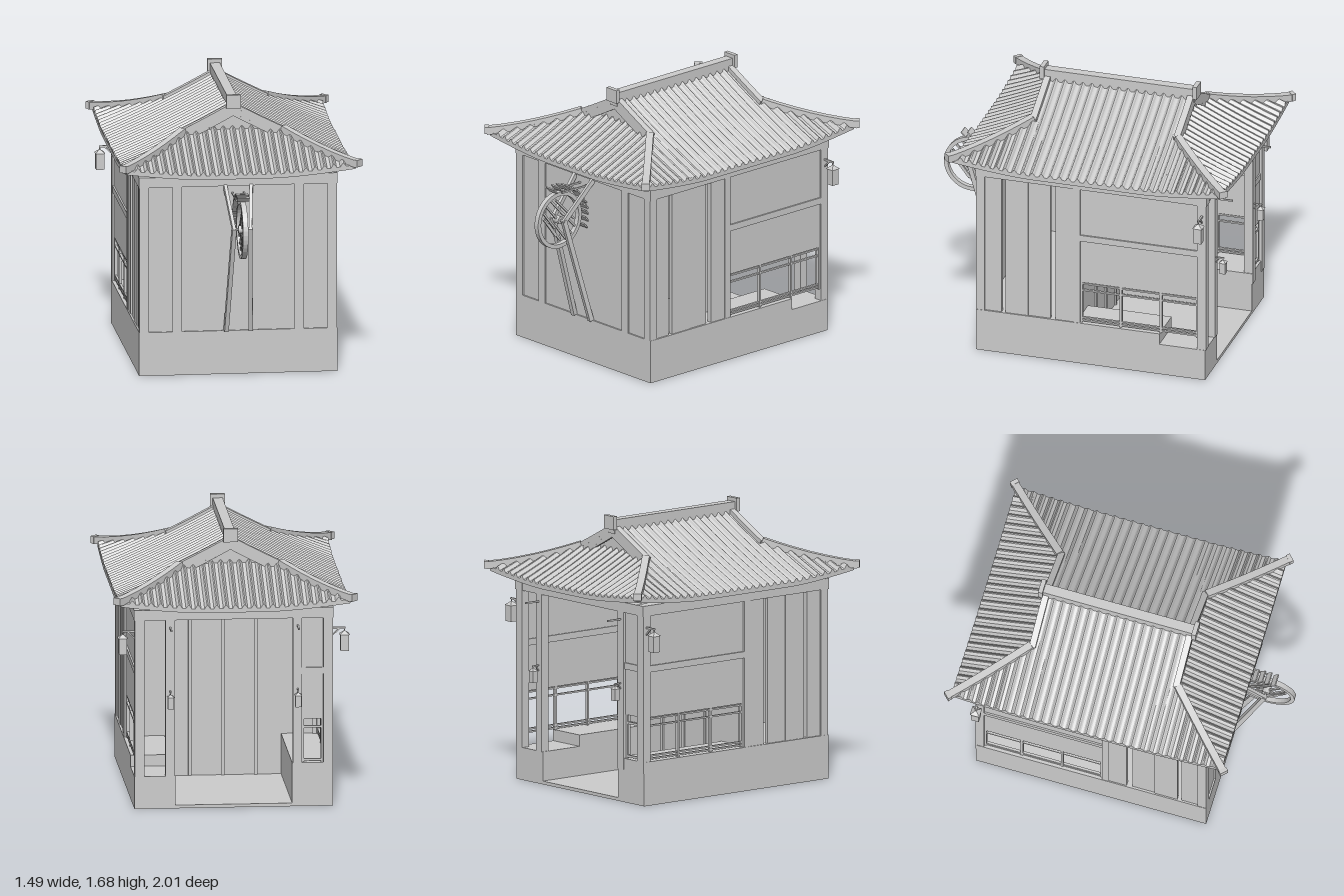
import * as THREE from 'three';

const grey = new THREE.MeshStandardMaterial({ color: 0xcccccc, flatShading: true });
const greyBoth = new THREE.MeshStandardMaterial({ color: 0xcccccc, flatShading: true, side: THREE.DoubleSide });

// Roof plan: centre, half sizes and the inset at which the gable stands
const ZC = -0.115, HX = 0.7, HZ = 0.855, GABLE = 0.385, RIB = 0.057;

// Roof height for inset u from the eave and distance w from the corner
function roofY(u, w) {
  const lift = 0.045 * Math.pow(Math.max(0, 1 - w / 0.5), 1.5) * Math.max(0, 1 - u / 0.45);
  return 1.265 + 0.41 * u + 0.098 * u * u + lift;
}

export function createModel() {
  const root = new THREE.Group();
  const group = (name, parent = root) => {
    const g = new THREE.Group();
    g.name = name;
    parent.add(g);
    return g;
  };
  const add = (parent, name, geo, mat = grey) => {
    const m = new THREE.Mesh(geo, mat);
    m.name = name;
    parent.add(m);
    return m;
  };
  // Box from its minimum and maximum on each axis
  const box = (p, name, x0, x1, y0, y1, z0, z1) => {
    const m = add(p, name, new THREE.BoxGeometry(x1 - x0, y1 - y0, z1 - z0));
    m.position.set((x0 + x1) / 2, (y0 + y1) / 2, (z0 + z1) / 2);
    return m;
  };
  // The same box on both sides of x = 0
  const pair = (p, name, x0, x1, ...r) => {
    box(p, name, x0, x1, ...r);
    box(p, name, -x1, -x0, ...r);
  };
  // Square bar between two points
  const strut = (p, name, a, b, w, h = w) => {
    const A = new THREE.Vector3(...a), B = new THREE.Vector3(...b);
    const m = add(p, name, new THREE.BoxGeometry(w, h, A.distanceTo(B)));
    m.position.copy(A).lerp(B, 0.5);
    m.lookAt(B);
    return m;
  };
  const chain = (p, name, pts, w, h) => {
    for (let i = 1; i < pts.length; i++) strut(p, name, pts[i - 1], pts[i], w, h);
  };

  // Plinth: closed front room, sunken passage at the back between two counters
  const base = group('base');
  box(base, 'frontPlinth', -0.605, 0.605, 0, 0.27, 0, 0.615);
  box(base, 'passageFloor', -0.355, 0.355, 0, 0.02, -0.84, 0);
  box(base, 'counterRight', -0.605, -0.355, 0, 0.27, -0.84, 0);
  box(base, 'counterLeft', 0.355, 0.605, 0, 0.27, -0.55, 0);
  box(base, 'counterStep', 0.355, 0.605, 0, 0.2, -0.84, -0.55);

  // Posts and top beams
  const frame = group('frame');
  pair(frame, 'frontCornerPost', 0.545, 0.603, 0.27, 1.17, 0.56, 0.615);
  pair(frame, 'frontPost', 0.345, 0.402, 0.27, 1.17, 0.57, 0.615);
  pair(frame, 'middlePost', 0.545, 0.603, 0.27, 1.17, -0.045, 0);
  pair(frame, 'backCornerPost', 0.545, 0.603, 0.2, 1.17, -0.845, -0.79);
  pair(frame, 'backPost', 0.36, 0.415, 0.2, 1.17, -0.845, -0.79);
  pair(frame, 'sideBeam', 0.54, 0.607, 1.17, 1.235, -0.85, 0.617);
  pair(frame, 'innerBeam', 0.36, 0.415, 1.17, 1.23, -0.8, 0);
  for (const [z0, z1] of [[0.56, 0.615], [-0.05, 0], [-0.845, -0.79]])
    box(frame, 'crossBeam', -0.54, 0.54, 1.17, 1.233, z0, z1);

  // Walls
  const walls = group('walls');
  box(walls, 'frontWall', -0.545, 0.545, 0.27, 1.17, 0.58, 0.605);
  box(walls, 'partition', -0.55, 0.55, 0.02, 1.17, -0.02, 0);
  for (const x of [-0.2, 0, 0.2]) box(walls, 'partitionBatten', x - 0.01, x + 0.01, 0.02, 1.17, -0.03, -0.02);
  pair(walls, 'sidePanelFront', 0.565, 0.594, 0.27, 1.17, 0.455, 0.56);
  pair(walls, 'slidingDoorFront', 0.575, 0.597, 0.27, 1.17, 0.285, 0.43);
  pair(walls, 'slidingDoorBack', 0.57, 0.592, 0.27, 1.17, 0.145, 0.285);
  pair(walls, 'sidePanelBack', 0.565, 0.598, 0.27, 1.17, 0, 0.11);

  // Shutter bays and windows over the counters
  pair(walls, 'shutterUpper', 0.568, 0.59, 0.86, 1.17, -0.79, -0.045);
  pair(walls, 'shutterLower', 0.568, 0.59, 0.54, 0.82, -0.79, -0.045);
  pair(walls, 'shutterRail', 0.56, 0.6, 0.82, 0.86, -0.79, -0.045);
  const windows = group('windows');
  for (const y of [0.283, 0.302, 0.487, 0.53]) pair(windows, 'windowRail', 0.573, 0.588, y - 0.005, y + 0.005, -0.79, -0.045);
  for (const z of [-0.05, -0.3, -0.555, -0.785]) pair(windows, 'windowBar', 0.57, 0.59, 0.27, 0.54, z - 0.007, z + 0.007);

  // Closed bay at the back corner
  box(walls, 'backPanel', -0.545, -0.415, 0.54, 1.17, -0.83, -0.81);
  box(walls, 'backRail', -0.545, -0.415, 0.82, 0.86, -0.838, -0.8);
  for (const y of [0.285, 0.49]) box(windows, 'backWindowRail', -0.545, -0.415, y - 0.007, y + 0.007, -0.827, -0.813);
  for (const x of [-0.538, -0.422]) box(windows, 'backWindowBar', x - 0.007, x + 0.007, 0.27, 0.54, -0.827, -0.813);

  // Ribbed roof slope: each column runs along the underside, then back over the tiles
  const roof = group('roof');
  function slope(name, s0, s1, half, maxInset, place) {
    const cols = Math.ceil((s1 - s0) / (RIB / 8)), n = 8, row = 2 * (n + 1);
    const pos = [], idx = [];
    for (let i = 0; i <= cols; i++) {
      const s = s0 + (s1 - s0) * i / cols, top = maxInset(s);
      const rib = 0.022 * Math.max(0, Math.cos(2 * Math.PI * s / RIB) + 0.3) / 1.3;
      for (let j = 0; j < row; j++) {
        const u = top * (j <= n ? n - j : j - n - 1) / n;
        pos.push(...place(s, u, roofY(u, half - Math.abs(s)) + (j <= n ? -0.025 : rib)));
        if (i && j) {
          const a = i * row + j, b = a - row;
          idx.push(b - 1, a - 1, a, b - 1, a, b);
        }
      }
    }
    const g = new THREE.BufferGeometry();
    g.setAttribute('position', new THREE.Float32BufferAttribute(pos, 3));
    g.setIndex(idx);
    g.computeVertexNormals();
    add(roof, name, g, greyBoth);
  }
  const G = HZ - GABLE;
  for (const k of [1, -1]) {
    const side = (s, u, y) => [k * (HX - u), y, ZC + s];
    slope('mainSlope', -G, G, HZ, () => HX, side);
    slope('mainSlopeEnd', G, HZ, HZ, s => HZ - s, side);
    slope('mainSlopeEnd', -HZ, -G, HZ, s => HZ + s, side);
    slope('hipSlope', -HX, HX, HX, s => Math.min(0.42, HX - Math.abs(s)),
      (s, u, y) => [s, y, ZC + k * (HZ - u)]);

    // Gable wall set back under the verge
    const tri = new THREE.Shape([[-0.27, 1.435], [0.27, 1.435], [0, 1.57]].map(p => new THREE.Vector2(...p)));
    const gable = add(roof, 'gableWall', new THREE.ExtrudeGeometry(tri, { depth: 0.02, bevelEnabled: false }));
    gable.position.z = ZC + k * (G - 0.045) - 0.01;

    for (const m of [1, -1]) {
      // Barge board and verge following the gable edge
      const barge = [], verge = [], hip = [];
      for (let i = 0; i <= 6; i++) {
        const u = HX - (HX - GABLE) * i / 6;
        barge.push([m * (HX - u), roofY(u, 1) - 0.02, ZC + k * (G - 0.005)]);
        verge.push([m * (HX - u), roofY(u, 1) + 0.012, ZC + k * (G - 0.015)]);
        const v = GABLE + 0.01 - (GABLE + 0.025) * i / 6;
        hip.push([m * (HX - v), roofY(v, v) + 0.012, ZC + k * (HZ - v)]);
      }
      chain(roof, 'bargeBoard', barge, 0.018, 0.06);
      chain(roof, 'verge', verge, 0.04, 0.03);
      chain(roof, 'hipRidge', hip, 0.045, 0.045);
      const e = hip[6];
      const cap = box(roof, 'hipEndCap', -0.026, 0.026, -0.022, 0.022, -0.013, 0.013);
      cap.position.set(e[0], e[1] + 0.005, e[2]);
      cap.rotation.y = m * k * Math.PI / 4;
    }
    const z = ZC + k * (G + 0.015);
    box(roof, 'ridgeEndCap', -0.045, 0.045, 1.597, 1.68, z - 0.014, z + 0.014);
  }
  box(roof, 'ridge', -0.03, 0.03, 1.57, 1.657, ZC - G - 0.01, ZC + G + 0.01);

  // Spoked wheel on the front wall, with fender and supports
  const wheel = group('wheel');
  wheel.position.set(0, 0.945, 0.82);
  const ring = new THREE.Shape().absarc(0, 0, 0.18, 0, Math.PI * 2);
  ring.holes.push(new THREE.Path().absarc(0, 0, 0.155, 0, Math.PI * 2));
  const rim = add(wheel, 'rim', new THREE.ExtrudeGeometry(ring, { depth: 0.032, bevelEnabled: false, curveSegments: 20 }));
  rim.rotation.y = Math.PI / 2;
  rim.position.x = -0.016;
  const hub = add(wheel, 'hub', new THREE.CylinderGeometry(0.024, 0.024, 0.05, 12));
  const axle = add(wheel, 'axle', new THREE.CylinderGeometry(0.009, 0.009, 0.13, 8));
  hub.rotation.z = axle.rotation.z = Math.PI / 2;
  for (let i = 0; i < 10; i++) {
    const a = (i + 0.25) * Math.PI / 5;
    strut(wheel, 'spoke', [0, 0, 0], [0, 0.16 * Math.sin(a), 0.16 * Math.cos(a)], 0.012);
  }
  const arc = [];
  for (let i = 0; i <= 12; i++) {
    const a = (70 + 137 * i / 12) * Math.PI / 180;
    arc.push([0, 0.207 * Math.sin(a), 0.207 * Math.cos(a)]);
  }
  chain(wheel, 'fender', arc, 0.076, 0.008);
  const stand = group('wheelStand');
  for (const k of [1, -1]) {
    strut(stand, 'leg', [k * 0.05, 0.95, 0.82], [k * 0.075, 0.27, 0.62], 0.026, 0.03);
    strut(stand, 'brace', [k * 0.05, 0.94, 0.82], [k * 0.08, 1.17, 0.605], 0.02, 0.028);
    strut(stand, 'fenderStay', [k * 0.035, 1.125, 0.82], [k * 0.035, 1.125, 0.58], 0.01);
  }

  // Hanging lanterns
  function lantern(x, y, z, s) {
    const g = group('lantern');
    g.position.set(x, y, z);
    g.scale.setScalar(s);
    box(g, 'body', -0.025, 0.025, -0.14, -0.04, -0.025, 0.025);
    const cap = add(g, 'cap', new THREE.ConeGeometry(0.043, 0.025, 4));
    cap.position.y = -0.0275;
    cap.rotation.y = Math.PI / 4;
    box(g, 'hanger', -0.003, 0.003, -0.02, 0, -0.003, 0.003);
  }
  const brackets = group('lanternBrackets');
  for (const k of [1, -1]) {
    lantern(k * 0.675, 1.1, -0.82, 1);
    strut(brackets, 'bracketArm', [k * 0.59, 1.1, -0.82], [k * 0.68, 1.1, -0.82], 0.011);
    strut(brackets, 'bracketBrace', [k * 0.6, 1.055, -0.82], [k * 0.645, 1.097, -0.82], 0.008);
    lantern(k * 0.388, 0.73, -0.888, 0.72);
    strut(brackets, 'smallArm', [k * 0.388, 0.73, -0.84], [k * 0.388, 0.73, -0.895], 0.008);
    strut(brackets, 'smallBrace', [k * 0.388, 0.695, -0.842], [k * 0.388, 0.728, -0.87], 0.006);
    strut(brackets, 'curtainRod', [k * 0.388, 1.125, -0.78], [k * 0.388, 1.125, -0.95], 0.01);
  }

  return root;
}
